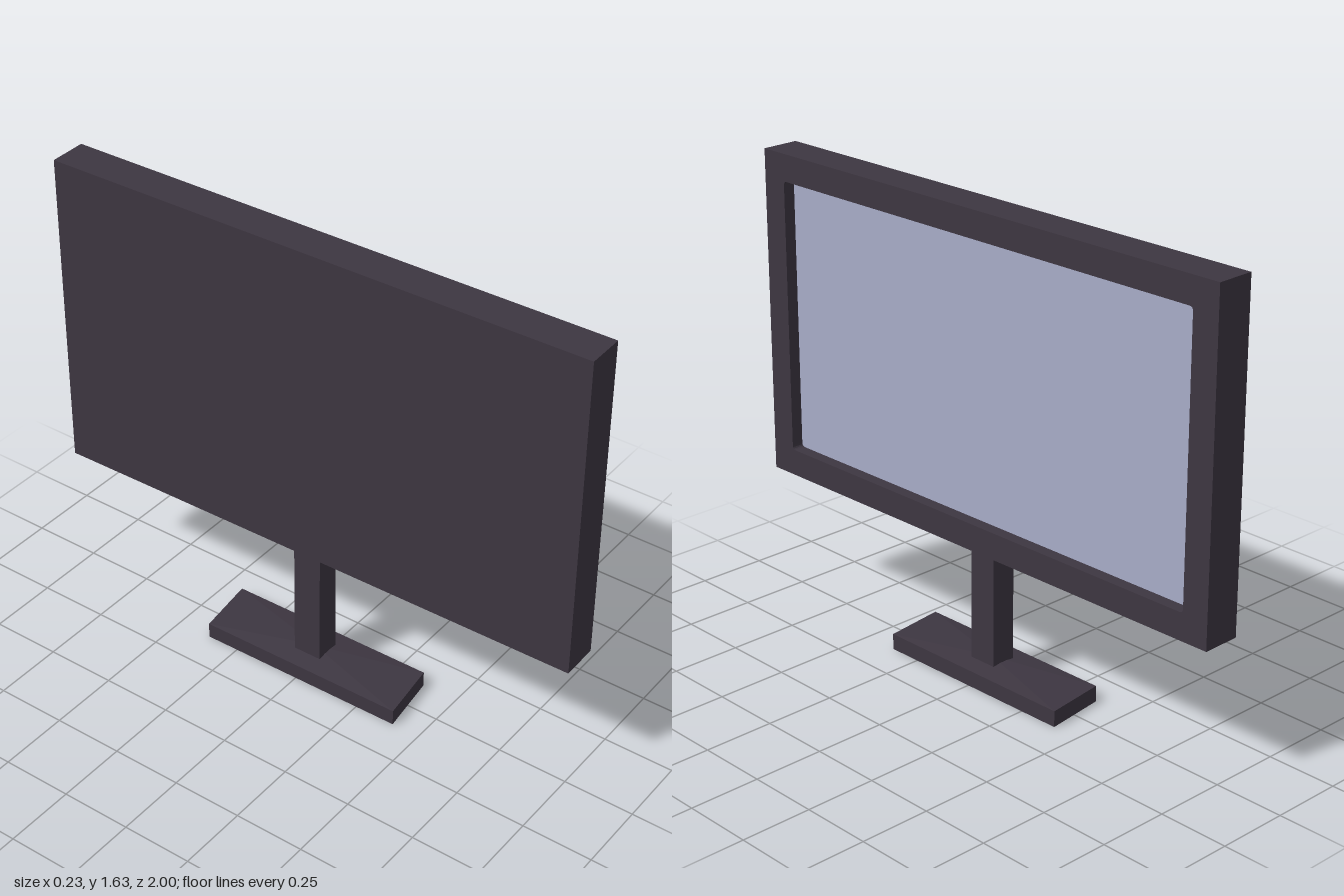
import * as THREE from 'three';

const frameMat = new THREE.MeshStandardMaterial({ color: 0x3d3641 });
frameMat.name = 'dark plastic';
const screenMat = new THREE.MeshStandardMaterial({ color: 0xa8acc8 });
screenMat.name = 'pale blue screen';

// Monitor dimensions: the screen faces +x
const WIDTH = 1.998, BOTTOM = 0.482, TOP = 1.635;
const BACK = -0.0475, FRONT = 0.0875, RECESS = 0.045;
const OPEN_W = 1.806, OPEN_BOTTOM = 0.576, OPEN_TOP = 1.54;

function addMesh(parent, name, geometry, material, x = 0, y = 0, z = 0) {
  const mesh = new THREE.Mesh(geometry, material);
  mesh.name = name;
  mesh.position.set(x, y, z);
  parent.add(mesh);
  return mesh;
}

// Rectangle outline with rounded corners
function roundedRect(path, w, y0, y1, r) {
  const h = w / 2;
  path.moveTo(-h + r, y0);
  path.lineTo(h - r, y0);
  path.quadraticCurveTo(h, y0, h, y0 + r);
  path.lineTo(h, y1 - r);
  path.quadraticCurveTo(h, y1, h - r, y1);
  path.lineTo(-h + r, y1);
  path.quadraticCurveTo(-h, y1, -h, y1 - r);
  path.lineTo(-h, y0 + r);
  path.quadraticCurveTo(-h, y0, -h + r, y0);
  return path;
}

function bezelGeometry() {
  const h = WIDTH / 2;
  const shape = new THREE.Shape([
    new THREE.Vector2(-h, BOTTOM), new THREE.Vector2(h, BOTTOM),
    new THREE.Vector2(h, TOP), new THREE.Vector2(-h, TOP),
  ]);
  shape.holes.push(roundedRect(new THREE.Path(), OPEN_W, OPEN_BOTTOM, OPEN_TOP, 0.014));
  return new THREE.ExtrudeGeometry(shape, { depth: RECESS, bevelEnabled: false, curveSegments: 4 })
    .rotateY(Math.PI / 2);
}

// Skew the foot into a parallelogram
function skew(geometry) {
  const p = geometry.attributes.position;
  for (let i = 0; i < p.count; i++) p.setZ(i, p.getZ(i) - 0.115 * p.getX(i));
  const flat = geometry.toNonIndexed();
  flat.computeVertexNormals();
  return flat;
}

export function createModel() {
  const model = new THREE.Group();
  model.name = 'monitor';

  // The whole monitor is turned very slightly
  const body = new THREE.Group();
  body.name = 'monitorBody';
  body.rotation.y = 0.0125;
  model.add(body);

  // Housing, bezel and recessed screen
  const seat = FRONT - RECESS;
  addMesh(body, 'housing', new THREE.BoxGeometry(seat - BACK, TOP - BOTTOM, WIDTH), frameMat,
    (seat + BACK) / 2, (TOP + BOTTOM) / 2, 0);
  addMesh(body, 'bezel', bezelGeometry(), frameMat, seat);
  const screen = roundedRect(new THREE.Shape(), OPEN_W, OPEN_BOTTOM, OPEN_TOP, 0.014);
  addMesh(body, 'screen', new THREE.ShapeGeometry(screen, 4).rotateY(Math.PI / 2), screenMat, seat + 0.002);

  // Stand post
  addMesh(body, 'post', new THREE.BoxGeometry(0.091, 0.5, 0.104), frameMat, -0.001, 0.25, 0);

  // Foot: skewed slab with a shallow pyramid on top
  const footX = 0.221, footZ = 0.768, footY = 0.057, peak = 0.013;
  addMesh(body, 'foot', skew(new THREE.BoxGeometry(footX, footY, footZ)), frameMat, -0.001, footY / 2, 0);
  const roof = new THREE.ConeGeometry(Math.SQRT1_2, peak, 4, 1, true)
    .rotateY(Math.PI / 4).scale(footX, 1, footZ);
  addMesh(body, 'footTop', skew(roof), frameMat, -0.001, footY + peak / 2, 0);

  return model;
}
